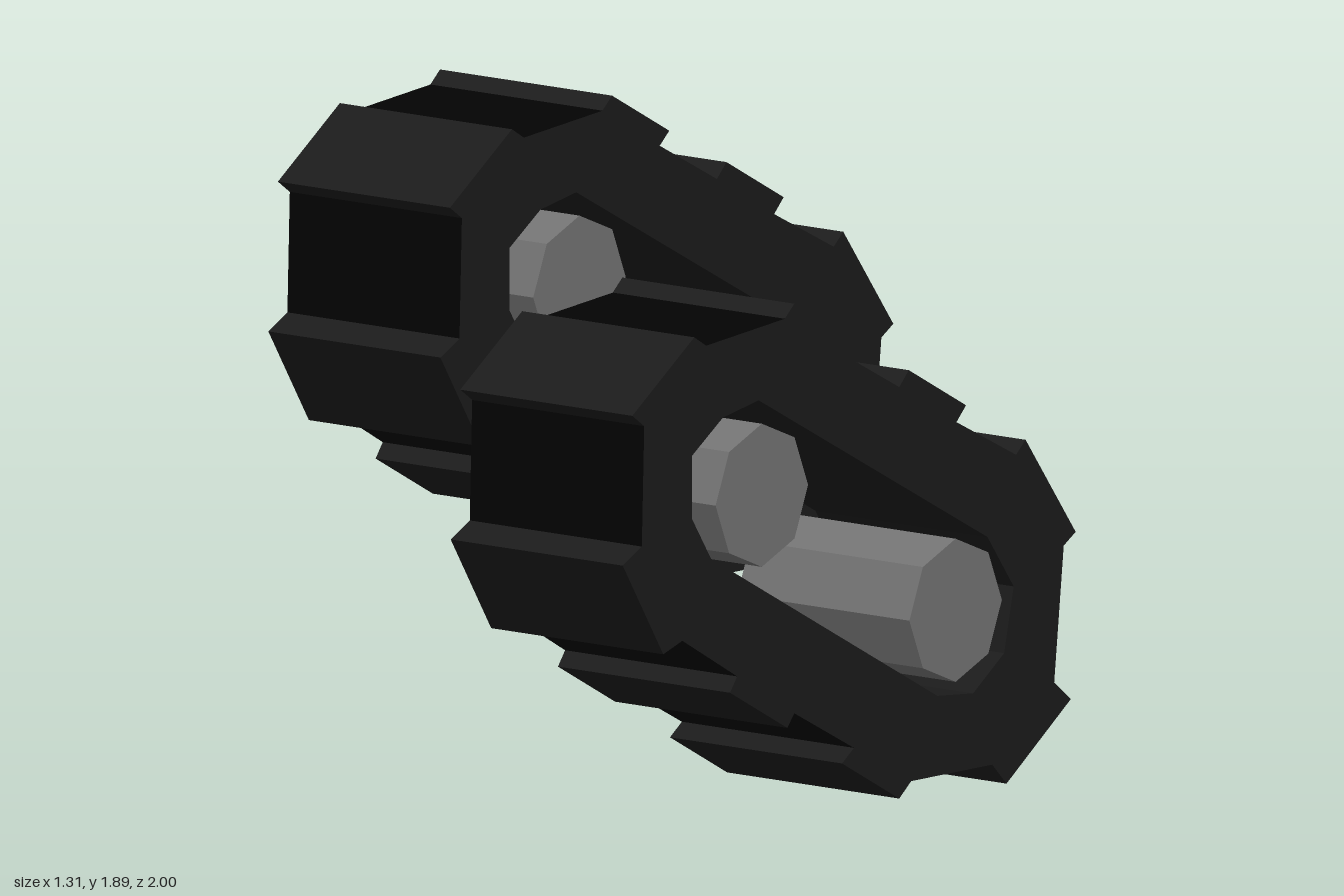
import * as THREE from 'three';

// Side profiles as [u, y], where u runs towards the back (u = -z)
const BAND = [
  [-0.91, 1.19], [-0.65, 1.37], [-0.32, 1.395], [-0.08, 1.265],
  [0.16, 1.14], [0.40, 1.01], [0.65, 0.885], [0.85, 0.61],
  [0.81, 0.245], [0.55, 0.06], [0.21, 0.065], [-0.03, 0.19],
  [-0.28, 0.32], [-0.52, 0.455], [-0.75, 0.585], [-0.92, 0.865],
];
// Outer corners of the cleats; cleat i sits on band edge 2i -> 2i + 1
const CLEATS = [
  [-0.96, 1.225], [-0.70, 1.40], [-0.28, 1.43], [-0.04, 1.30],
  [0.20, 1.18], [0.44, 1.05], [0.69, 0.92], [0.90, 0.64],
  [0.88, 0.19], [0.61, 0], [0.16, 0.025], [-0.08, 0.155],
  [-0.31, 0.285], [-0.55, 0.415], [-0.83, 0.56], [-1.0, 0.825],
];
// Runs the opposite way round to the band
const OPENING = [
  [-0.71, 0.91], [-0.63, 0.79], [0.32, 0.28], [0.47, 0.265], [0.60, 0.355],
  [0.64, 0.53], [0.53, 0.68], [-0.43, 1.19], [-0.58, 1.165], [-0.71, 1.08],
];
const WHEELS = [[-0.43, 0.934], [0.383, 0.504]];
const WIDTH = 0.593;

const rubber = new THREE.MeshStandardMaterial({ color: 0x1b1b1b, flatShading: true });
const groove = new THREE.MeshStandardMaterial({ color: 0x030303, flatShading: true });
const metal = new THREE.MeshStandardMaterial({ color: 0x737373, flatShading: true });

const toPoints = (list) => list.map(([u, y]) => new THREE.Vector2(u, y));

// Extrude a side profile across the track width, along +x
function extrudeAcross(outline, holes = []) {
  const shape = new THREE.Shape(toPoints(outline));
  shape.holes = holes.map((hole) => new THREE.Path(toPoints(hole)));
  return new THREE.ExtrudeGeometry(shape, { depth: WIDTH, bevelEnabled: false }).rotateY(Math.PI / 2);
}

function part(name, geometry, material) {
  const mesh = new THREE.Mesh(geometry, material);
  mesh.name = name;
  return mesh;
}

// Belt: dark outer running surface, the flanks and opening in plain rubber
function createBand() {
  const geometry = extrudeAcross(BAND, [OPENING]);
  const walls = geometry.groups[1];
  const outerCount = BAND.length * 6;
  geometry.addGroup(walls.start + outerCount, walls.count - outerCount, 0);
  walls.count = outerCount;
  return part('trackBand', geometry, [rubber, groove]);
}

function createTrack(name) {
  const track = new THREE.Group();
  track.name = name;
  track.add(createBand());

  // Raised cleats around the belt
  for (let i = 0; i < BAND.length; i += 2) {
    const outline = [BAND[i], CLEATS[i], CLEATS[i + 1], BAND[i + 1]];
    track.add(part('cleat', extrudeAcross(outline), rubber));
  }

  // Eight-sided rollers, standing slightly proud of the +x side
  for (const [u, y] of WHEELS) {
    const wheel = part('wheel', new THREE.CylinderGeometry(0.194, 0.194, WIDTH, 8).rotateZ(Math.PI / 2), metal);
    wheel.position.set(WIDTH / 2 + 0.011, y, -u);
    track.add(wheel);
  }
  return track;
}

export function createModel() {
  const model = new THREE.Group();
  model.name = 'trackPair';
  const left = createTrack('leftTrack');
  left.position.set(0.051, 0, 0);
  const right = createTrack('rightTrack');
  right.position.set(-0.657, 0.465, -0.097);
  model.add(left, right);
  return model;
}
